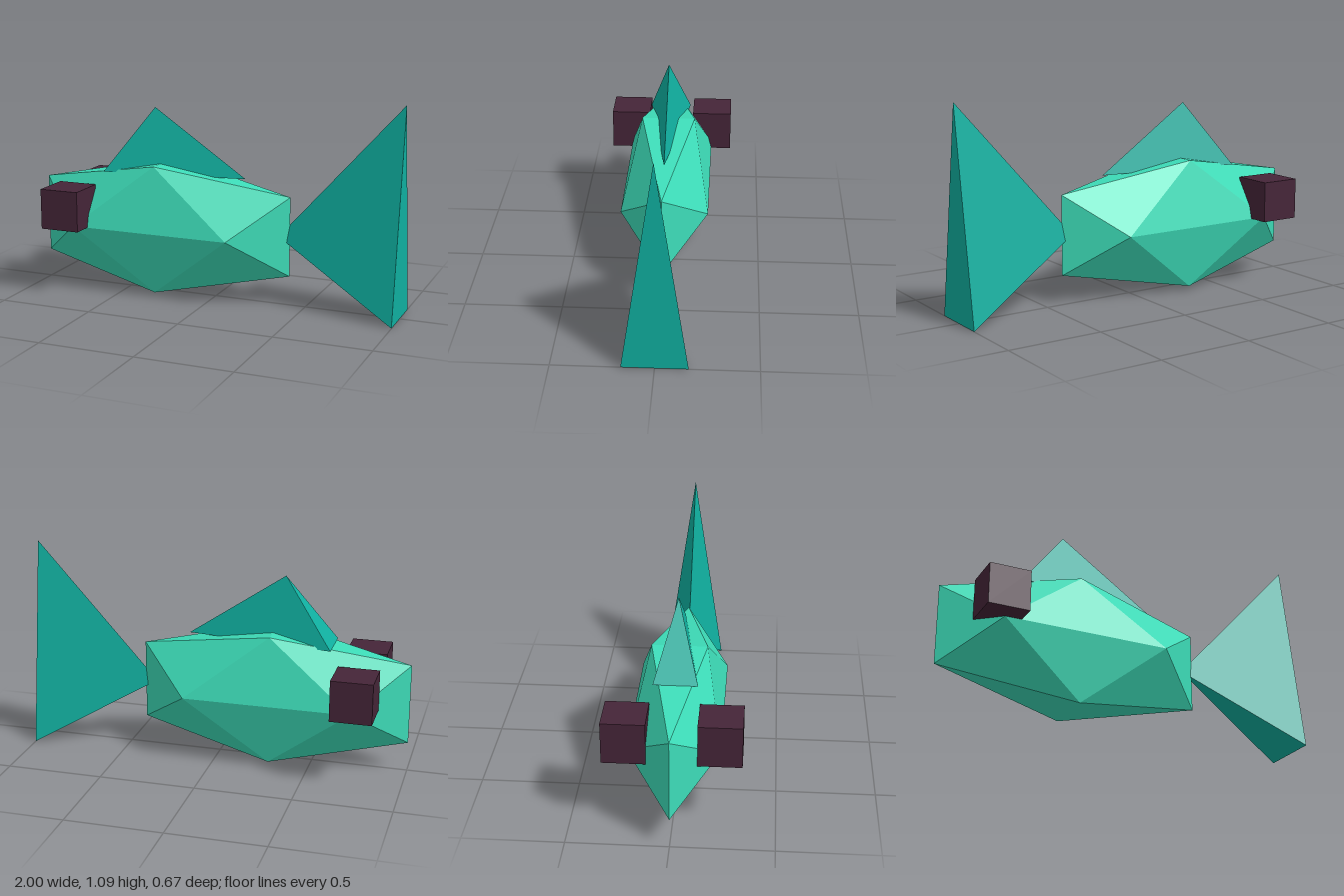
import * as THREE from 'three';

const flat = (name, color) => {
  const m = new THREE.MeshStandardMaterial({ color, flatShading: true });
  m.name = name;
  return m;
};

export function createModel() {
  const group = new THREE.Group();
  group.name = 'fish';
  const bodyTeal = flat('bodyTeal', 0x3ddcb8);
  const finTeal = flat('finTeal', 0x10b0a0);
  const eyePlum = flat('eyePlum', 0x452538);

  const add = (name, geometry, material, x, y, z) => {
    const mesh = new THREE.Mesh(geometry, material);
    mesh.name = name;
    mesh.position.set(x, y, z);
    group.add(mesh);
  };

  // Body: stretched icosahedron with vertical edges at nose and tail
  const body = new THREE.IcosahedronGeometry(1, 0).rotateZ(Math.PI / 2).scale(0.829, 0.4, 0.267);
  add('body', body, bodyTeal, -0.294, 0.365, 0);

  // Tail: three-sided pyramid, tip towards the body, one base corner up
  const tail = new THREE.ConeGeometry(1, 0.65, 3)
    .rotateX(-Math.PI / 2).rotateY(Math.PI / 2).scale(1, 0.724, 0.187);
  add('tailFin', tail, finTeal, 0.675, 0.363, 0);

  // Back fin: three-sided pyramid narrowing towards the tail
  const fin = new THREE.ConeGeometry(1, 0.345, 3).rotateY(Math.PI / 2).scale(0.51, 1, 0.126);
  add('backFin', fin, finTeal, -0.345, 0.8225, 0);

  // Eyes: a cube on each side of the head
  for (const [name, side] of [['leftEye', 1], ['rightEye', -1]]) {
    add(name, new THREE.BoxGeometry(0.213, 0.213, 0.213), eyePlum, -0.75, 0.472, side * 0.228);
  }
  return group;
}
